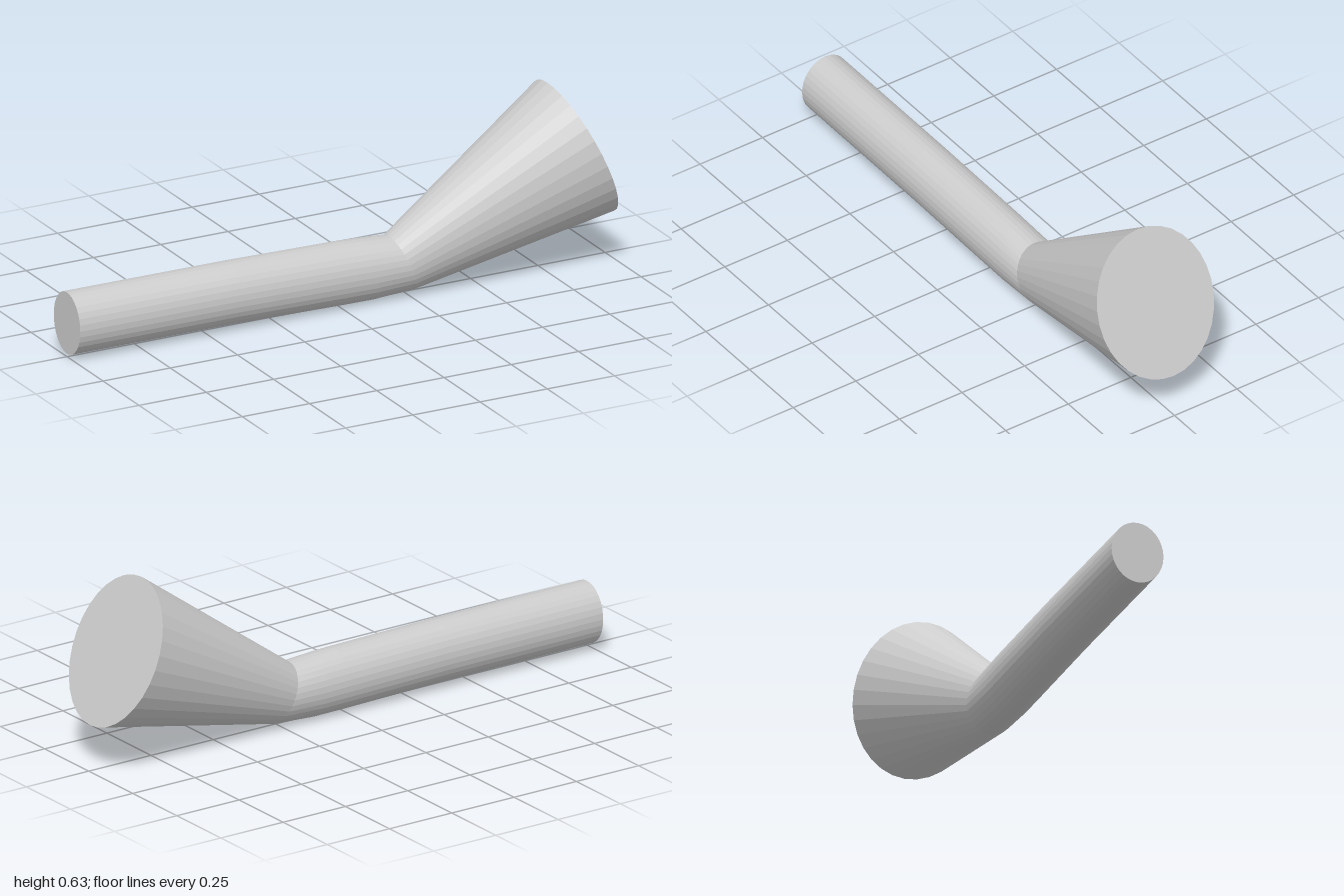
import * as THREE from 'three';

const SIDES = 32;

// Each station: top point (x, y), bottom point (x, y), half width in z
const STATIONS = [
  [-1, 0.229, -1, 0.014, 0.092],
  [-0.4, 0.227, -0.4, 0.012, 0.092],
  [0.02, 0.22, 0.0, 0.004, 0.092],
  [0.09, 0.217, 0.12, 0.003, 0.092],
  [0.195, 0.209, 0.28, 0.013, 0.092],
  [0.787, 0.638, 0.995, 0.163, 0.223],
];

// Point on a tilted elliptical cross-section
function ringPoint([tx, ty, bx, by, w], i) {
  const a = (i / SIDES) * Math.PI * 2, c = Math.cos(a) / 2;
  return [(tx + bx) / 2 + (tx - bx) * c, (ty + by) / 2 + (ty - by) * c, Math.sin(a) * w];
}

// Skin between consecutive stations, with optional flat end caps
function loft(stations, capStart, capEnd) {
  const pos = [];
  const centre = ([tx, ty, bx, by]) => [(tx + bx) / 2, (ty + by) / 2, 0];
  const first = stations[0], last = stations[stations.length - 1];
  for (let i = 0; i < SIDES; i++) {
    for (let s = 0; s < stations.length - 1; s++) {
      const a = ringPoint(stations[s], i), b = ringPoint(stations[s], i + 1);
      const c = ringPoint(stations[s + 1], i + 1), d = ringPoint(stations[s + 1], i);
      pos.push(...a, ...b, ...c, ...a, ...c, ...d);
    }
    if (capStart) pos.push(...centre(first), ...ringPoint(first, i + 1), ...ringPoint(first, i));
    if (capEnd) pos.push(...centre(last), ...ringPoint(last, i), ...ringPoint(last, i + 1));
  }
  const geo = new THREE.BufferGeometry();
  geo.setAttribute('position', new THREE.Float32BufferAttribute(pos, 3));
  geo.computeVertexNormals();
  return geo;
}

export function createModel() {
  const group = new THREE.Group();
  group.name = 'bentFlaredPipe';
  const material = new THREE.MeshStandardMaterial({ color: 0xcccccc, flatShading: true, side: THREE.DoubleSide });
  const add = (name, geo) => {
    const mesh = new THREE.Mesh(geo, material);
    mesh.name = name;
    group.add(mesh);
  };
  // Straight pipe, bending gently at the elbow
  add('pipe', loft(STATIONS.slice(0, 5), true, false));
  // Cone widening upward from the elbow
  add('flare', loft(STATIONS.slice(4), false, true));
  return group;
}
